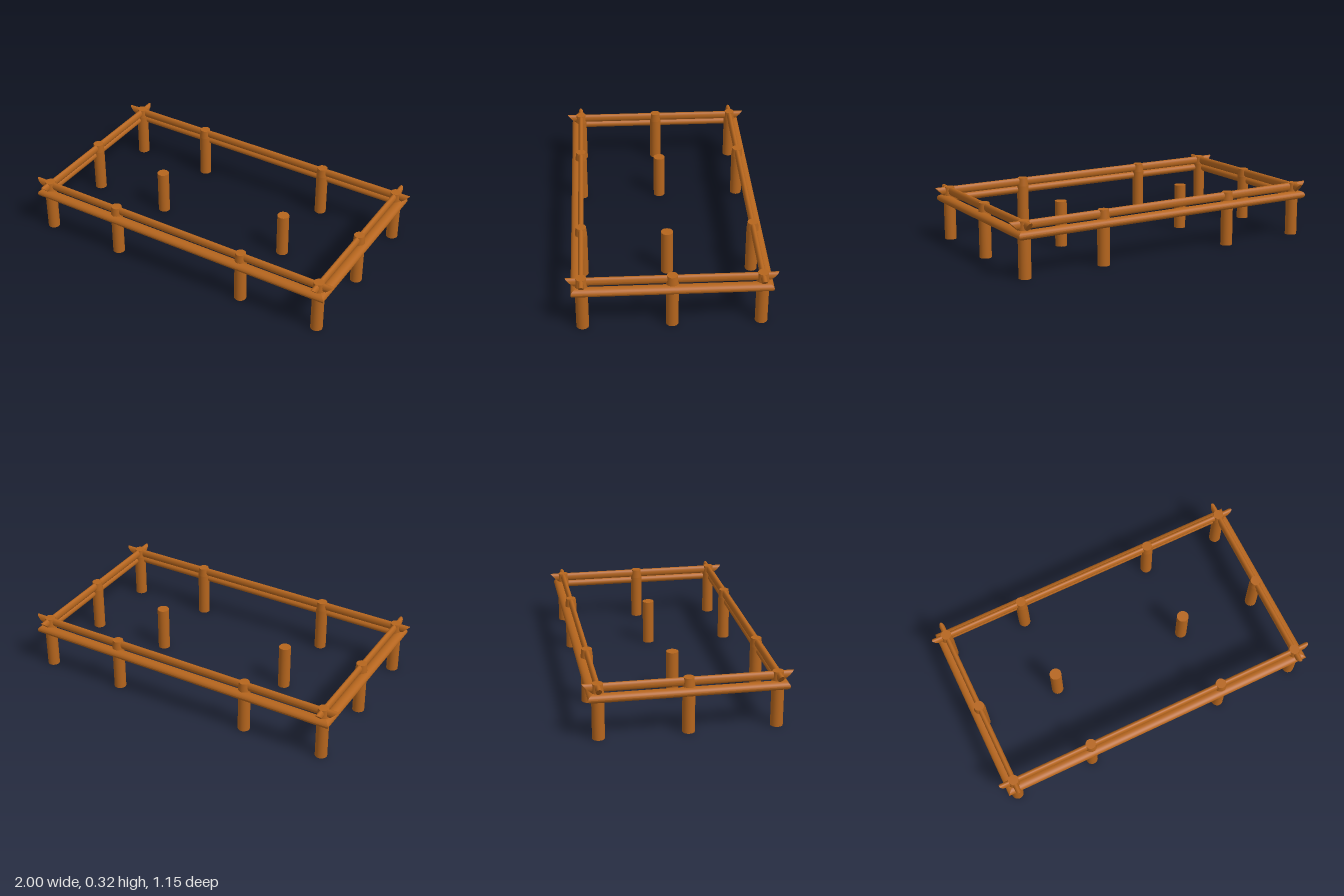
import * as THREE from 'three';

const wood = new THREE.MeshStandardMaterial({ color: 0xb5651d });

// Round log along x; each end is cut at an angle by shift(y, z)
function log(name, halfLength, halfHeight, halfDepth, shift) {
  const geo = new THREE.CylinderGeometry(1, 1, 2, 24).rotateZ(Math.PI / 2);
  geo.scale(halfLength, halfHeight, halfDepth);
  const p = geo.attributes.position;
  for (let i = 0; i < p.count; i++) {
    p.setX(i, p.getX(i) + Math.sign(p.getX(i)) * shift(p.getY(i), p.getZ(i)));
  }
  geo.computeVertexNormals();
  const mesh = new THREE.Mesh(geo, wood);
  mesh.name = name;
  return mesh;
}

// Upright post, optionally with a slightly tapered head
function post(name, x, z, height, tapered) {
  const r = 0.035;
  const parts = [[0, 0], [r, 0], [r, 0], [r, 0.27]];
  if (tapered) parts.push([r, 0.27], [0.03, height], [0.03, height]);
  else parts.push([r, height]);
  parts.push([0, height]);
  const points = parts.map(([a, b]) => new THREE.Vector2(a, b));
  const mesh = new THREE.Mesh(new THREE.LatheGeometry(points, 24), wood);
  mesh.name = name;
  mesh.position.set(x, 0, z);
  return mesh;
}

export function createModel() {
  const model = new THREE.Group();
  model.name = 'timberFrame';

  // Posts: the perimeter ones reach the top rail, the inner pair stays lower
  for (const x of [-0.91, -0.423, 0.42, 0.91]) {
    for (const z of [-0.49, 0, 0.49]) {
      const inner = z === 0 && Math.abs(x) < 0.5;
      model.add(post(inner ? 'innerPost' : 'outerPost', x, z, inner ? 0.27 : 0.32, !inner));
    }
  }

  // Four sides: a mitred lower log outside the posts, a slant-cut rail above
  const sides = [
    { name: 'front', angle: 0, low: 0.515, high: 0.49, lowHalf: 0.935, highHalf: 0.975 },
    { name: 'left', angle: Math.PI / 2, low: 0.935, high: 0.91, lowHalf: 0.515, highHalf: 0.55 },
    { name: 'back', angle: Math.PI, low: 0.515, high: 0.49, lowHalf: 0.935, highHalf: 0.975 },
    { name: 'right', angle: -Math.PI / 2, low: 0.935, high: 0.91, lowHalf: 0.515, highHalf: 0.55 },
  ];
  for (const s of sides) {
    const side = new THREE.Group();
    side.name = s.name + 'Side';
    const lower = log(s.name + 'LowerLog', s.lowHalf, 0.025, 0.032, (y, z) => z);
    lower.position.set(0, 0.245, s.low);
    const upper = log(s.name + 'UpperRail', s.highHalf, 0.025, 0.016, (y) => y);
    upper.position.set(0, 0.295, s.high);
    side.add(lower, upper);
    side.rotation.y = s.angle;
    model.add(side);
  }
  return model;
}
